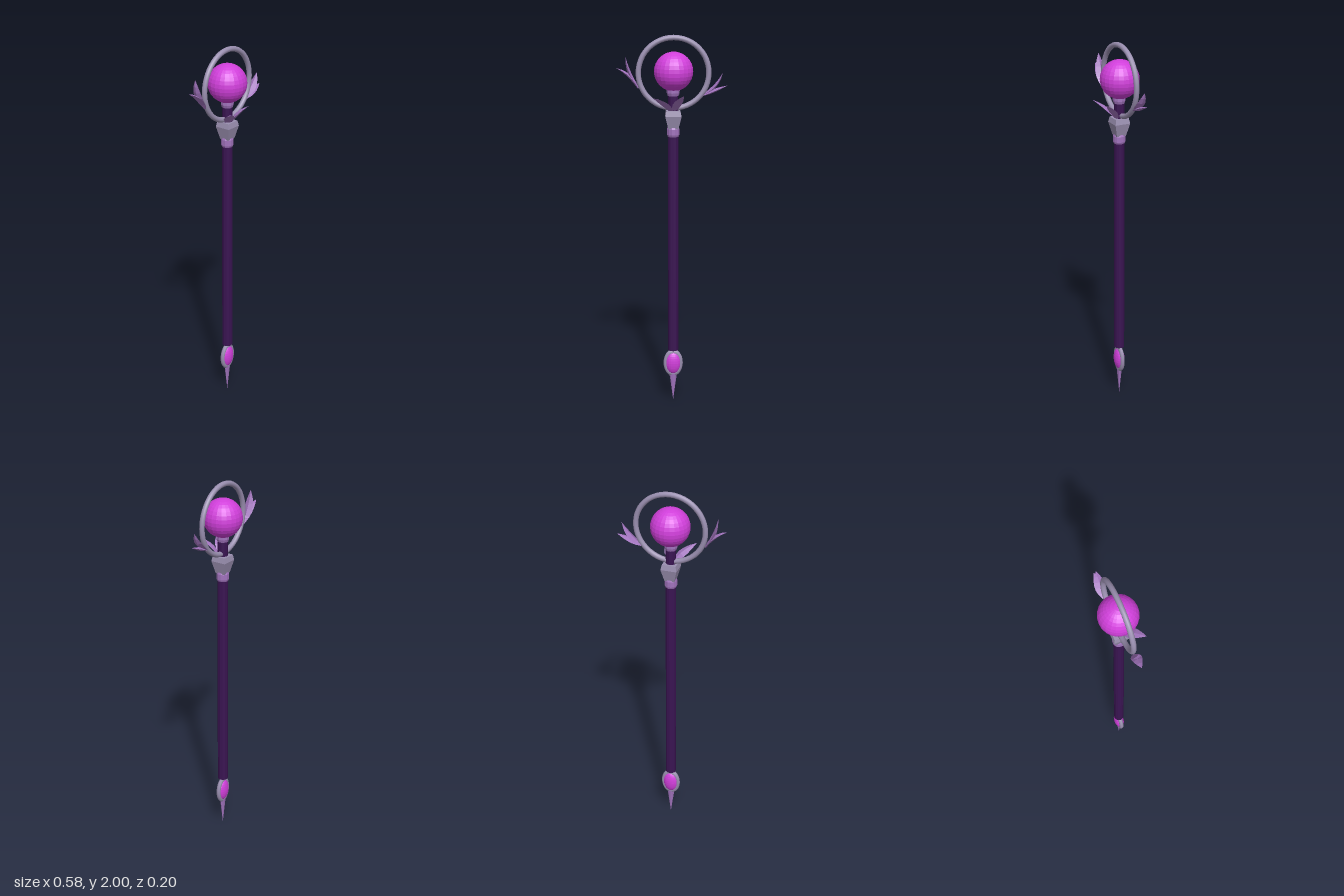
import * as THREE from 'three';

const material = (color, flatShading = true) => new THREE.MeshStandardMaterial({ color, flatShading });
const metal = material(0x9a8fb0);
const smoothMetal = material(0x9a8fb0, false);
const lilac = material(0xa173bd);
const wood = material(0x3a1452);
const crystal = material(0xd13fdb);

// The pole stands a hair off centre, as the leaves reach unequally far
const AXIS = 0.004;

function add(group, name, geometry, mat, x = AXIS, y = 0, z = 0) {
  const mesh = new THREE.Mesh(geometry, mat);
  mesh.name = name;
  mesh.position.set(x, y, z);
  group.add(mesh);
  return mesh;
}

// Revolved profile given as [radius, y] pairs, with flat sides facing the axes
function turned(points, sides) {
  const profile = points.map(([r, y]) => new THREE.Vector2(r, y));
  return new THREE.LatheGeometry(profile, sides, Math.PI / sides);
}

// Curved pointed leaf: diamond cross-sections swept along a bent midrib
function leafGeometry(base, bend, tip, side, width, thickness) {
  const curve = new THREE.QuadraticBezierCurve3(
    new THREE.Vector3(...base), new THREE.Vector3(...bend), new THREE.Vector3(...tip));
  const widths = [0.35, 0.8, 1, 0.88, 0.55, 0.03];
  const across = new THREE.Vector3(...side).normalize();
  const positions = [], index = [];
  const steps = widths.length;
  widths.forEach((w, i) => {
    const t = i / (steps - 1);
    const p = curve.getPoint(t);
    const normal = curve.getTangent(t).cross(across).normalize();
    for (let k = 0; k < 4; k++) {
      const a = k * Math.PI / 2;
      const q = p.clone()
        .addScaledVector(across, Math.cos(a) * w * width)
        .addScaledVector(normal, Math.sin(a) * w * thickness);
      positions.push(q.x, q.y, q.z);
    }
  });
  for (let i = 0; i < steps - 1; i++) {
    for (let k = 0; k < 4; k++) {
      const a = i * 4 + k, b = i * 4 + (k + 1) % 4;
      index.push(a, b, a + 4, b, b + 4, a + 4);
    }
  }
  // End caps
  const e = (steps - 1) * 4;
  index.push(0, 2, 1, 0, 3, 2, e, e + 1, e + 2, e, e + 2, e + 3);
  const geometry = new THREE.BufferGeometry();
  geometry.setAttribute('position', new THREE.Float32BufferAttribute(positions, 3));
  geometry.setIndex(index);
  geometry.computeVertexNormals();
  return geometry;
}

export function createModel() {
  const staff = new THREE.Group();
  staff.name = 'staff';

  // Shaft and collars
  add(staff, 'shaft', new THREE.CylinderGeometry(0.028, 0.028, 1.19, 12), wood, AXIS, 0.885);
  add(staff, 'shaftCollar', turned(
    [[0, 1.47], [0.029, 1.47], [0.033, 1.48], [0.033, 1.51], [0.029, 1.52], [0, 1.52]], 12), lilac);

  // Square tapered head block
  add(staff, 'headBlock', turned(
    [[0, 1.512], [0.037, 1.512], [0.06, 1.58], [0.052, 1.608], [0, 1.608]], 4), metal);

  // Stem and cup carrying the orb
  add(staff, 'orbStem', new THREE.CylinderGeometry(0.027, 0.027, 0.1, 10), wood, AXIS, 1.65);
  add(staff, 'orbCup', turned(
    [[0, 1.685], [0.029, 1.685], [0.034, 1.7], [0.034, 1.72], [0, 1.72]], 10), lilac);
  add(staff, 'orb', new THREE.SphereGeometry(0.102, 24, 16), crystal, 0.006, 1.811, -0.002);

  // Halo ring around the orb
  add(staff, 'haloRing', new THREE.TorusGeometry(0.183, 0.014, 10, 48), smoothMetal, 0.006, 1.803, -0.002);

  // Leaves on the ring and at the foot of the stem: base, bend, tip, width direction, half width
  const leaves = [
    ['rightOuterLeaf', [-0.178, 1.725, 0], [-0.215, 1.80, -0.006], [-0.289, 1.828, -0.01], [0, 0, 1], 0.027],
    ['rightInnerLeaf', [-0.182, 1.735, -0.006], [-0.235, 1.80, -0.008], [-0.243, 1.89, -0.006], [0, 0, 1], 0.027],
    ['leftOuterLeaf', [0.160, 1.685, -0.004], [0.215, 1.71, -0.008], [0.287, 1.735, -0.01], [0, 0, 1], 0.027],
    ['leftInnerLeaf', [0.160, 1.69, -0.008], [0.23, 1.72, -0.006], [0.262, 1.80, -0.008], [0, 0, 1], 0.027],
    ['rightStemLeaf', [-0.006, 1.605, 0.018], [-0.04, 1.655, 0.045], [-0.102, 1.687, 0.1], [1, 0.25, 1], 0.028],
    ['leftStemLeaf', [0.01, 1.605, 0.018], [0.024, 1.66, 0.045], [0.054, 1.695, 0.097], [1, 0, -0.5], 0.028],
  ];
  for (const [name, base, bend, tip, side, width] of leaves) {
    add(staff, name, leafGeometry(base, bend, tip, side, width, 0.009), lilac, 0);
  }

  // Oval gem in a flat rim
  const rim = add(staff, 'gemRim', new THREE.TorusGeometry(0.041, 0.012, 8, 28), smoothMetal, AXIS, 0.215);
  rim.scale.y = 1.48;
  const gem = add(staff, 'gem', new THREE.SphereGeometry(1, 20, 14), crystal, AXIS, 0.215);
  gem.scale.set(0.042, 0.064, 0.027);

  // Pointed foot
  const spike = add(staff, 'footSpike', new THREE.ConeGeometry(0.021, 0.155, 8), lilac, AXIS, 0.0775);
  spike.rotation.x = Math.PI;
  spike.scale.z = 0.6;

  return staff;
}
